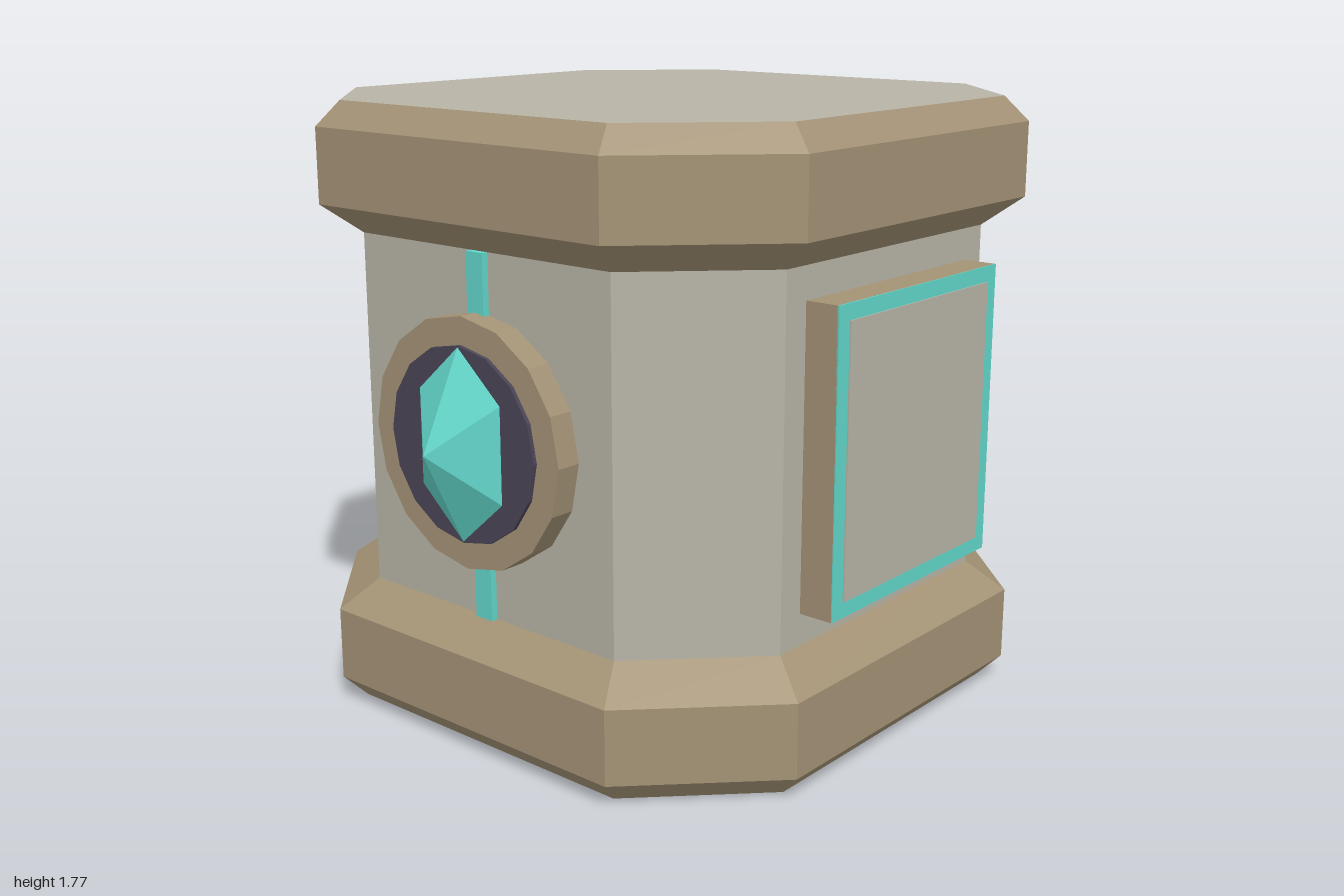
import * as THREE from 'three';

const material = (name, color) => {
  const m = new THREE.MeshStandardMaterial({ color, flatShading: true });
  m.name = name;
  return m;
};

// Closed octagonal loft through [y, halfWidth, halfFlatEdge] rings.
// Group 0 is the sides, group 1 the two end caps.
function octagonLoft(rings) {
  const pos = [];
  const loops = rings.map(([y, a, c]) =>
    [[a, -c], [a, c], [c, a], [-c, a], [-a, c], [-a, -c], [-c, -a], [c, -a]].map(([x, z]) => [x, y, z]));
  const tri = (...pts) => pts.forEach((p) => pos.push(...p));
  for (let r = 0; r < loops.length - 1; r++) {
    for (let i = 0; i < 8; i++) {
      const j = (i + 1) % 8, lo = loops[r], hi = loops[r + 1];
      tri(lo[i], hi[i], lo[j]);
      tri(lo[j], hi[i], hi[j]);
    }
  }
  const sideCount = pos.length / 3;
  const bottom = loops[0], top = loops[loops.length - 1];
  for (let i = 1; i < 7; i++) {
    tri(bottom[0], bottom[i], bottom[i + 1]);
    tri(top[0], top[i + 1], top[i]);
  }
  const g = new THREE.BufferGeometry();
  g.setAttribute('position', new THREE.Float32BufferAttribute(pos, 3));
  g.addGroup(0, sideCount, 0);
  g.addGroup(sideCount, pos.length / 3 - sideCount, 1);
  g.computeVertexNormals();
  return g;
}

export function createModel() {
  const stone = material('stone', 0xb7b4a6);
  const trim = material('bronze trim', 0xa39275);
  const teal = material('teal crystal', 0x62d6ca);
  const dark = material('dark socket', 0x4a4456);

  const model = new THREE.Group();
  model.name = 'stoneBlock';
  const add = (parent, name, geometry, mat, x = 0, y = 0, z = 0) => {
    const mesh = new THREE.Mesh(geometry, mat);
    mesh.name = name;
    mesh.position.set(x, y, z);
    parent.add(mesh);
    return mesh;
  };

  const H = 1.773, MID = H / 2;

  // Core and the two bevelled bands
  add(model, 'body', octagonLoft([[0.37, 0.78, 0.47], [H - 0.37, 0.78, 0.47]]), [stone, stone]);
  const band = [[0, 0.82, 0.5], [0.07, 0.885, 0.53], [0.285, 0.885, 0.53], [0.37, 0.78, 0.47]];
  add(model, 'bottomBand', octagonLoft(band), [trim, stone]);
  const topBand = band.map(([y, a, c]) => [H - y, a, c]).reverse();
  add(model, 'topBand', octagonLoft(topBand), [trim, stone]);

  // Front and back: stripe, round setting and faceted gem
  const disc = (radius, depth) => new THREE.CylinderGeometry(radius, radius, depth, 16).rotateX(Math.PI / 2);
  const gem = new THREE.ConeGeometry(0.271, 0.132, 6).rotateX(Math.PI / 2).scale(0.66, 1, 1);
  for (const [name, angle] of [['front', 0], ['back', Math.PI]]) {
    const face = new THREE.Group();
    face.name = name + 'Medallion';
    face.rotation.y = angle;
    add(face, 'stripe', new THREE.BoxGeometry(0.062, H - 0.74, 0.04), teal, 0, MID, 0.78);
    add(face, 'ring', disc(0.353, 0.105), trim, 0, MID, 0.8025);
    add(face, 'socket', disc(0.275, 0.04), dark, 0, MID, 0.847);
    add(face, 'gem', gem, teal, 0, MID, 0.934);
    model.add(face);
  }

  // Left and right: raised panel with a teal border
  for (const [name, s] of [['left', 1], ['right', -1]]) {
    const panel = new THREE.Group();
    panel.name = name + 'Panel';
    add(panel, 'panelBlock', new THREE.BoxGeometry(0.12, 0.85, 0.77), trim, s * 0.82, MID, 0);
    add(panel, 'panelBorder', new THREE.BoxGeometry(0.006, 0.85, 0.77), teal, s * 0.88, MID, 0);
    add(panel, 'panelFace', new THREE.BoxGeometry(0.006, 0.76, 0.675), stone, s * 0.884, MID, 0);
    model.add(panel);
  }

  return model;
}
